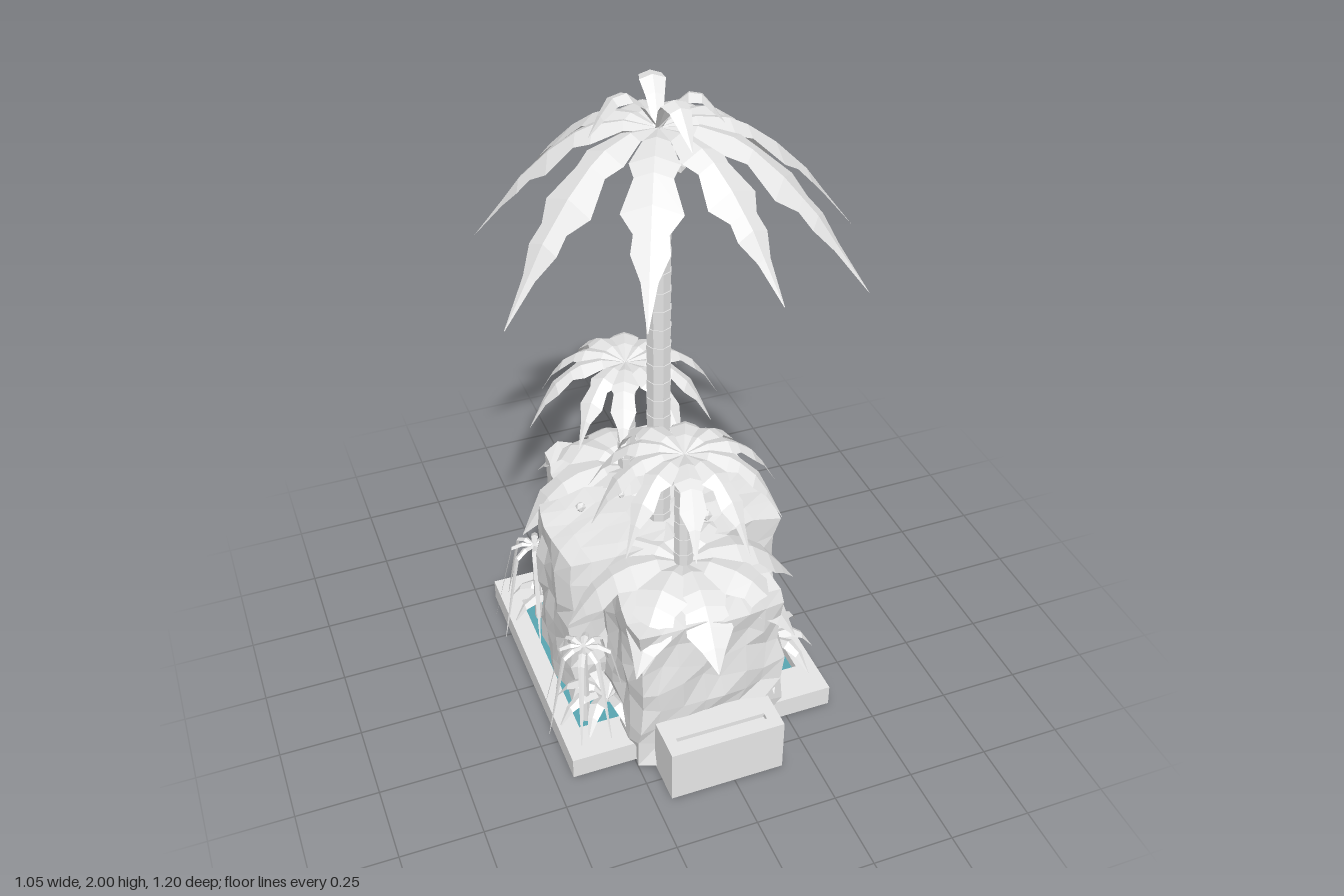
import * as THREE from 'three';
import { mergeGeometries } from 'three/addons/utils/BufferGeometryUtils.js';

const stone = new THREE.MeshStandardMaterial({ color: 0xe6e6e6, side: THREE.DoubleSide });
stone.name = 'pale grey';
const water = new THREE.MeshStandardMaterial({ color: 0x58a6b1 });
water.name = 'teal water';

// Stable pseudo-random value in -1..1 from a position
function hash(x, y, z) {
  const s = Math.sin(x * 127.1 + y * 311.7 + z * 74.7) * 43758.5453;
  return (s - Math.floor(s)) * 2 - 1;
}

// Faceted normals
function facet(geo) {
  const g = geo.index ? geo.toNonIndexed() : geo;
  g.deleteAttribute('uv');
  g.computeVertexNormals();
  return g;
}

function add(parent, name, geo, mat = stone) {
  const m = new THREE.Mesh(geo, mat);
  m.name = name;
  parent.add(m);
  return m;
}

// Upright block with a rectangular opening through it
function frame(x0, x1, z0, z1, hole, h) {
  const rect = (P, a, b, c, d) => {
    const p = new P();
    p.moveTo(a, -c); p.lineTo(b, -c); p.lineTo(b, -d); p.lineTo(a, -d); p.closePath();
    return p;
  };
  const s = rect(THREE.Shape, x0, x1, z0, z1);
  s.holes.push(rect(THREE.Path, ...hole));
  return new THREE.ExtrudeGeometry(s, { depth: h, bevelEnabled: false }).rotateX(-Math.PI / 2);
}

function box(x0, x1, y0, y1, z0, z1, ...seg) {
  return new THREE.BoxGeometry(x1 - x0, y1 - y0, z1 - z0, ...seg)
    .translate((x0 + x1) / 2, (y0 + y1) / 2, (z0 + z1) / 2);
}

// Rough rock: a divided box with its grid points pushed about
function rock(x0, x1, y0, y1, z0, z1, seg, rough) {
  const g = box(x0, x1, y0, y1, z0, z1, ...seg);
  const p = g.attributes.position;
  const cx = (x0 + x1) / 2, cz = (z0 + z1) / 2;
  for (let i = 0; i < p.count; i++) {
    const [x, y, z] = [p.getX(i), p.getY(i), p.getZ(i)].map(v => Math.round(v * 1000) / 1000);
    const corner = Math.abs((x - cx) / (x1 - cx)) + Math.abs((z - cz) / (z1 - cz)) > 1.95 ? 0.96 : 1;
    p.setXYZ(i,
      cx + (x - cx) * corner + hash(x, y, z) * rough,
      y < y0 + 0.01 ? y : y + hash(y, z, x) * rough * (y > y1 - 0.01 ? 0.6 : 1.5),
      cz + (z - cz) * corner + hash(z, x, y) * rough);
  }
  return facet(g);
}

// Folded, jagged leaf from [radius, height, half width] sections; its edges hang below the rib
function leaf(sections, angle, size = 1, drop = 0.35) {
  const pos = [], idx = [], c = Math.cos(angle), s = Math.sin(angle), base = sections[0][1];
  sections.forEach(([r, y, w], i) => {
    for (const side of [-1, 0, 1]) {
      const d = side * w;
      pos.push(c * r * size - s * d, base + (y - base) * size - Math.abs(side) * w * drop, s * r * size + c * d);
    }
    if (i) for (const k of [0, 1]) {
      const a = (i - 1) * 3 + k, b = a + 3;
      idx.push(a, a + 1, b, a + 1, b + 1, b);
    }
  });
  const g = new THREE.BufferGeometry();
  g.setAttribute('position', new THREE.Float32BufferAttribute(pos, 3));
  g.setIndex(idx);
  return facet(g);
}

function crown(sections, count, turn, vary, drop) {
  const leaves = [];
  for (let i = 0; i < count; i++) {
    const n = hash(i, count, turn * 3);
    leaves.push(leaf(sections, turn + (i + n * 0.12) / count * Math.PI * 2, 1 + vary * hash(i, 5, turn), drop));
  }
  return mergeGeometries(leaves);
}

// Ringed trunk of slightly flared segments
function trunk(r, y0, y1, count) {
  const parts = [], h = (y1 - y0) / count;
  for (let i = 0; i < count; i++) {
    parts.push(facet(new THREE.CylinderGeometry(r, r * 0.93, h, 8).translate(0, y0 + h * (i + 0.5), 0)));
  }
  return mergeGeometries(parts);
}

const TALL = [[0, 1.88, 0.01], [0.1, 1.9, 0.035], [0.19, 1.885, 0.065], [0.24, 1.86, 0.05], [0.32, 1.8, 0.08],
  [0.37, 1.75, 0.045], [0.41, 1.71, 0.05], [0.46, 1.64, 0.022], [0.55, 1.52, 0.001]];
const CURL = [[0, 1.88, 0.01], [0.05, 1.96, 0.025], [0.09, 1.995, 0.035], [0.13, 1.99, 0.03], [0.165, 1.95, 0.018], [0.2, 1.9, 0.001]];
const SMALL = [[0, 0.97, 0.01], [0.07, 0.99, 0.03], [0.13, 0.985, 0.045], [0.16, 0.97, 0.03], [0.205, 0.935, 0.038],
  [0.24, 0.885, 0.016], [0.285, 0.8, 0.001]];
const BUSH = [[0, 0.57, 0.02], [0.08, 0.6, 0.05], [0.16, 0.595, 0.08], [0.21, 0.575, 0.06], [0.26, 0.535, 0.07],
  [0.3, 0.485, 0.035], [0.345, 0.42, 0.001]];
const FERN = [[0, 0.21, 0.01], [0.04, 0.265, 0.018], [0.09, 0.28, 0.024], [0.13, 0.255, 0.016], [0.17, 0.19, 0.001]];
const REED = [[0.005, 0.35, 0.007], [0.04, 0.358, 0.011], [0.075, 0.34, 0.009], [0.1, 0.23, 0.007], [0.14, 0.05, 0.001]];

// Tips of the tall fronds, as x and z from the trunk
const TIPS = [[0.545, 0.06], [0.445, 0.37], [0.165, 0.45], [-0.195, 0.44], [-0.5, 0.235],
  [-0.455, -0.19], [-0.27, -0.4], [0.05, -0.47], [0.31, -0.37], [0.45, -0.2]];

export function createModel() {
  const root = new THREE.Group();
  root.name = 'palmIsland';

  // Pool basin and water
  const pool = [-0.385, 0.335, -0.32, 0.28];
  add(root, 'basinRim', frame(-0.445, 0.395, -0.44, 0.4, pool, 0.07));
  add(root, 'basinFloor', box(-0.385, 0.335, 0, 0.02, -0.32, 0.28));
  add(root, 'water', new THREE.PlaneGeometry(0.72, 0.6).rotateX(-Math.PI / 2).translate(-0.025, 0.04, -0.02), water);

  // Slotted blocks at both ends
  for (const [name, z0, z1, s] of [['frontBlock', 0.4, 0.58, 0.53], ['backBlock', -0.62, -0.44, -0.57]]) {
    add(root, name, frame(-0.2, 0.155, z0, z1, [-0.165, 0.115, s - 0.011, s + 0.011], 0.18));
    add(root, name + 'SlotFill', box(-0.165, 0.115, 0.02, 0.165, s - 0.011, s + 0.011));
  }

  // Rocks
  add(root, 'centreRock', rock(-0.37, 0.322, 0.03, 0.59, -0.182, 0.147, [8, 7, 5], 0.013));
  add(root, 'frontRock', rock(-0.25, 0.207, 0.01, 0.54, 0.1, 0.45, [7, 7, 5], 0.013));
  add(root, 'backRock', rock(-0.25, 0.203, 0.01, 0.545, -0.485, -0.14, [7, 7, 5], 0.013));
  for (let i = 0; i < 5; i++) {
    const pebble = add(root, 'pebble', facet(new THREE.IcosahedronGeometry(0.015 + 0.006 * hash(i, 1, 2), 0)));
    pebble.position.set(-0.03 + 0.26 * hash(i, 3, 1), 0.6, -0.02 + 0.12 * hash(i, 7, 4));
  }

  // Tall palm
  const tall = new THREE.Group();
  tall.name = 'tallPalm';
  tall.position.set(-0.025, 0, 0.013);
  root.add(tall);
  add(tall, 'tallTrunk', trunk(0.038, 0.56, 1.88, 22));
  add(tall, 'tallFronds', mergeGeometries(TIPS.map(([x, z]) => leaf(TALL, Math.atan2(z, x), Math.hypot(x, z) / 0.55))));
  add(tall, 'curledFronds', mergeGeometries([[0.4, 0.85], [1.5, 1], [3, 1], [4.9, 0.95]].map(([a, l]) => leaf(CURL, a, l))));
  for (const [x, y] of [[0.035, 1.83], [0.04, 1.78]]) {
    add(tall, 'nut', facet(new THREE.IcosahedronGeometry(0.02, 0))).position.set(x, y, 0.04);
  }
  add(root, 'sideStump', facet(new THREE.CylinderGeometry(0.015, 0.018, 0.28, 6).translate(-0.025, 0.71, -0.045)));

  // Short palms, each over a broad-leaved bush
  for (const [name, z, turn] of [['front', 0.215, Math.PI / 2], ['back', -0.272, -Math.PI / 2]]) {
    const palm = new THREE.Group();
    palm.name = name + 'Palm';
    palm.position.set(-0.025, 0, z);
    root.add(palm);
    add(palm, name + 'Trunk', trunk(0.031, 0.5, 0.97, 8));
    add(palm, name + 'Fronds', crown(SMALL, 10, turn + 0.31, 0.07, 0.4));
    add(palm, name + 'Bush', crown(BUSH, 8, turn, 0.05, 0.3));
  }

  // Arching reeds at the pool corners
  for (const [x, z, turn] of [[-0.345, -0.26, 0.3], [0.3, -0.275, 1.1], [-0.345, 0.225, 2]]) {
    const reeds = new THREE.Group();
    reeds.name = 'reeds';
    reeds.position.set(x, 0, z);
    root.add(reeds);
    add(reeds, 'reedStem', facet(new THREE.CylinderGeometry(0.01, 0.014, 0.32, 6).translate(0, 0.19, 0)));
    add(reeds, 'reedBlades', crown(REED, 8, turn, 0.12, 0.6));
  }

  // Ferns against the rocks: a high one in front, low ones by the reeds
  for (const [x, y, z, turn] of [[0.215, 0, 0.285, 0.2], [-0.27, -0.13, -0.25, 0.6], [0.23, -0.13, -0.25, 1], [-0.27, -0.13, 0.21, 1.4]]) {
    add(root, 'fern', crown(FERN, 8, turn, 0.1, 0.5)).position.set(x, y, z);
  }
  return root;
}
